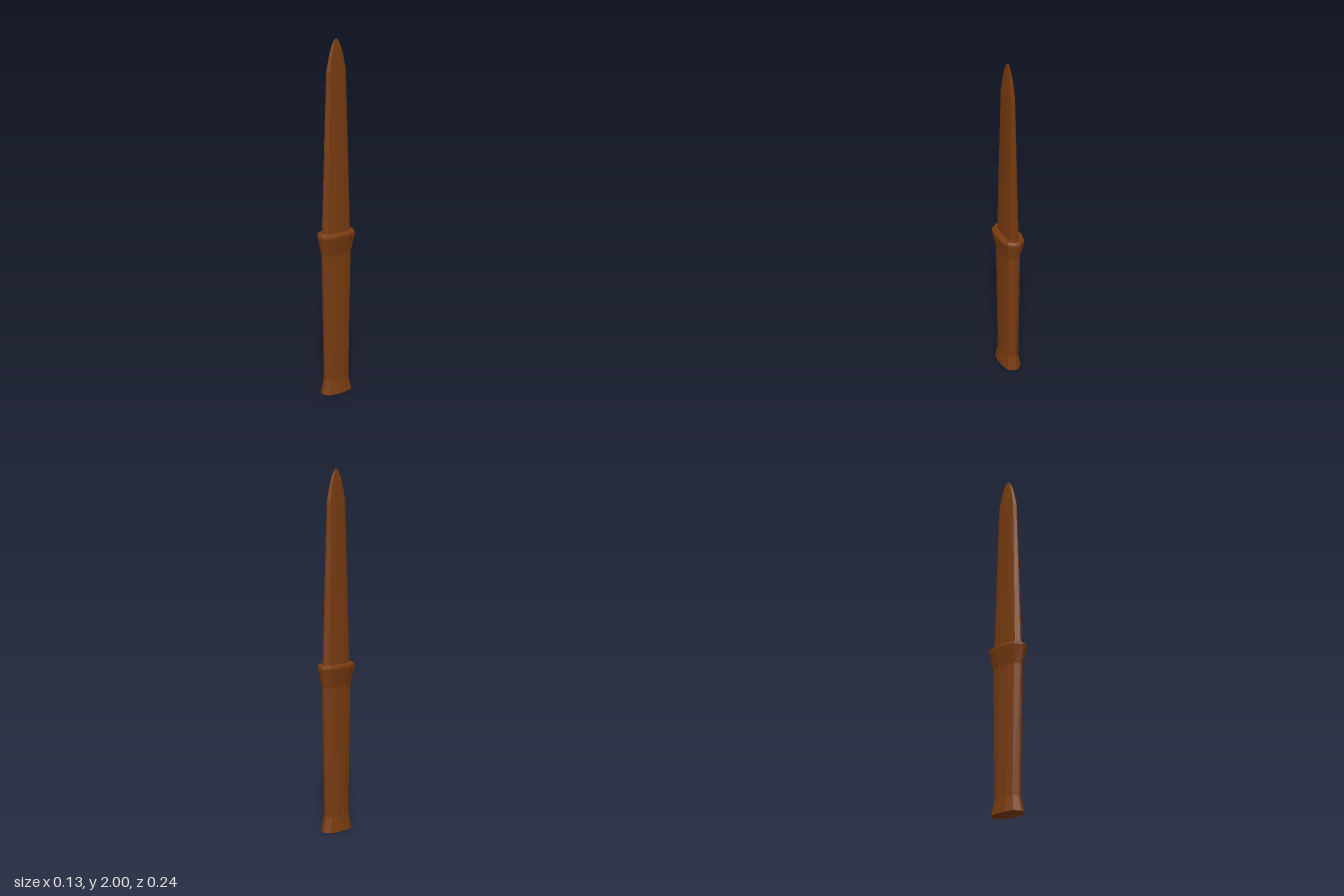
import * as THREE from 'three';

// Twelve-sided oval cross-section as fractions of the half widths (one quarter, mirrored)
const quarter = [[1, 0.32], [0.79, 0.77], [0.18, 1]];
const mirrorX = (pts) => pts.slice().reverse().map(([x, z]) => [-x, z]);
const half = [...quarter, ...mirrorX(quarter)];
const oval = [...half, ...half.map(([x, z]) => [-x, -z])];

// Skin a stack of ovals given as [y, halfX, halfZ], closed at both ends
function loft(rings) {
  const n = oval.length;
  const pos = [];
  const index = [];
  for (const [y, hx, hz] of rings) {
    for (const [x, z] of oval) pos.push(x * hx, y, z * hz);
  }
  const bottom = rings.length * n;
  const top = bottom + 1;
  pos.push(0, rings[0][0], 0, 0, rings[rings.length - 1][0], 0);
  for (let i = 0; i < n; i++) {
    const j = (i + 1) % n;
    for (let r = 0; r < rings.length - 1; r++) {
      const a = r * n + i, b = r * n + j;
      index.push(a, a + n, b, b, a + n, b + n);
    }
    const last = (rings.length - 1) * n;
    index.push(bottom, i, j, top, last + j, last + i);
  }
  const g = new THREE.BufferGeometry();
  g.setAttribute('position', new THREE.Float32BufferAttribute(pos, 3));
  g.setIndex(index);
  g.computeVertexNormals();
  return g;
}

export function createModel() {
  const wood = new THREE.MeshStandardMaterial({ color: 0x783b10, flatShading: true });
  wood.name = 'brown wood';
  const group = new THREE.Group();
  group.name = 'woodenKnife';
  const add = (name, rings) => {
    const mesh = new THREE.Mesh(loft(rings), wood);
    mesh.name = name;
    group.add(mesh);
  };

  // Grip with flared pommel and collar
  add('handle', [
    [0, 0.055, 0.1],
    [0.085, 0.043, 0.081],
    [0.82, 0.044, 0.097],
    [0.925, 0.066, 0.119],
    [0.938, 0.064, 0.116],
    [0.945, 0.056, 0.106],
  ]);

  // Tapering blade with a rounded tip
  add('blade', [
    [0.93, 0.033, 0.096],
    [1.4, 0.024, 0.081],
    [1.83, 0.016, 0.066],
    [1.91, 0.011, 0.048],
    [1.96, 0.007, 0.032],
    [1.99, 0.003, 0.015],
    [2, 0.001, 0.003],
  ]);
  return group;
}
